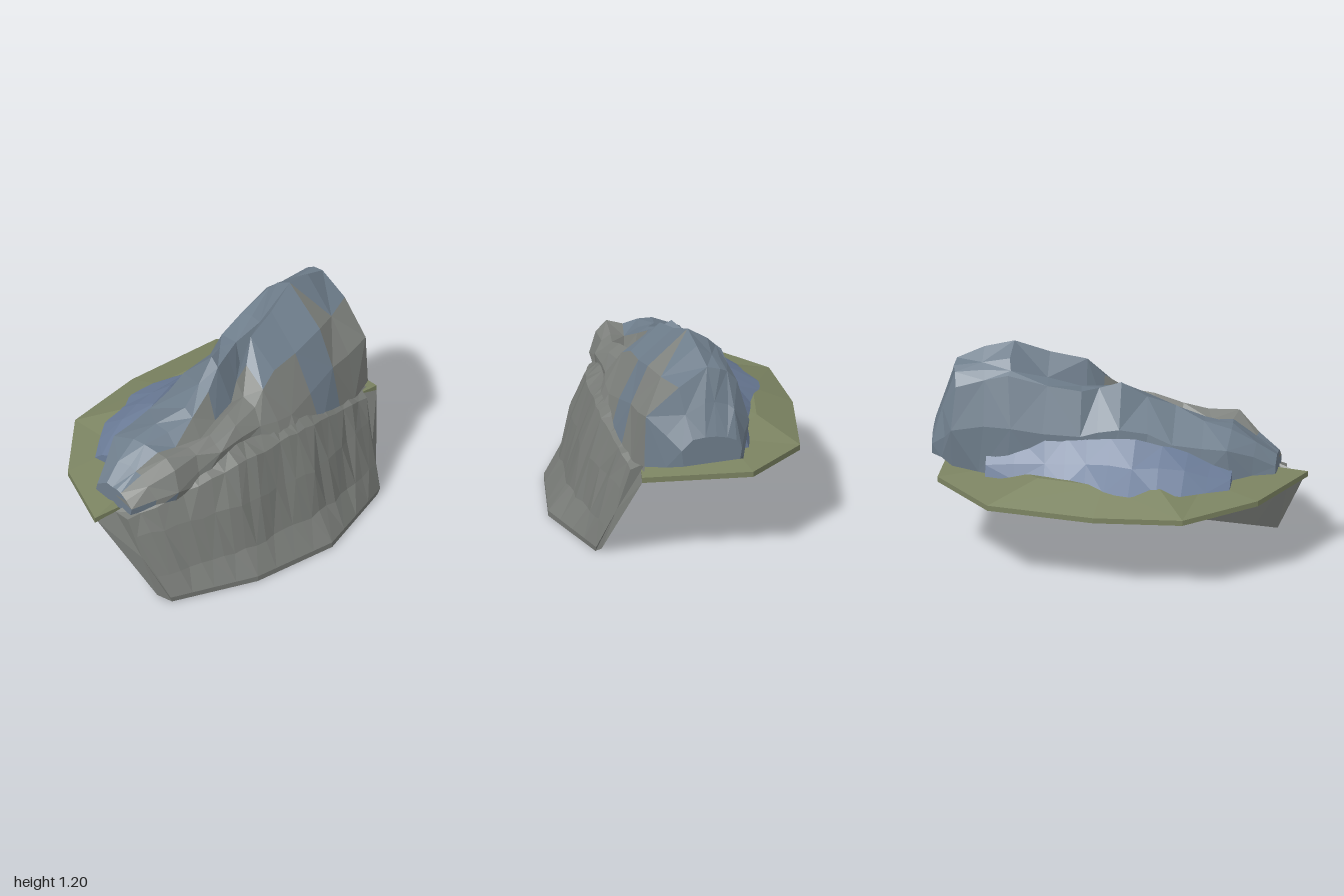
import * as THREE from 'three';

// small seeded noise in -1..1
function seeded(seed) {
  return () => {
    seed = (seed * 16807) % 2147483647;
    return (seed / 2147483647) * 2 - 1;
  };
}

// point at 0..1 along a rail of [x, y, z] points
function railPoint(rail, u) {
  const t = u * (rail.length - 1), k = Math.min(Math.floor(t), rail.length - 2);
  return new THREE.Vector3(...rail[k]).lerp(new THREE.Vector3(...rail[k + 1]), t - k);
}

// Lofts a closed solid through rails (one rail per ring point, listed clockwise
// as seen from the end of the loft). Returns a list of triangles.
function loft(rails, rows, jitter = 0, seed = 7) {
  const rnd = seeded(seed);
  const grid = [];
  for (let r = 0; r < rows; r++) {
    const f = r === 0 || r === rows - 1 ? 0 : jitter;
    grid.push(rails.map((rail) => railPoint(rail, r / (rows - 1))
      .add(new THREE.Vector3(rnd() * f, rnd() * f, rnd() * f))));
  }
  const n = rails.length, tris = [];
  const centre = (ring) => ring.reduce((s, p) => s.add(p), new THREE.Vector3()).divideScalar(n);
  const back = centre(grid[0]), front = centre(grid[rows - 1]);
  for (let i = 0; i < n; i++) {
    const j = (i + 1) % n;
    for (let r = 0; r < rows - 1; r++) {
      const a = grid[r][i], b = grid[r][j], c = grid[r + 1][j], d = grid[r + 1][i];
      // alternate the diagonals for a craggy look
      if ((r + i) % 2) tris.push([a, d, c], [a, c, b]);
      else tris.push([a, d, b], [d, c, b]);
    }
    tris.push([back, grid[0][i], grid[0][j]]);
    tris.push([front, grid[rows - 1][j], grid[rows - 1][i]]);
  }
  return tris;
}

function facetMesh(name, tris, color) {
  const geo = new THREE.BufferGeometry().setFromPoints(tris.flat());
  geo.computeVertexNormals();
  const mesh = new THREE.Mesh(geo, new THREE.MeshStandardMaterial({ color, flatShading: true }));
  mesh.name = name;
  return mesh;
}

// gives each [x, y] of a rail its z station
const along = (stations, rail) => rail.map(([x, y], i) => [x, y, stations[i]]);

export function createModel() {
  const group = new THREE.Group();
  group.name = 'rockyCliff';

  // grassy plate, its top rising towards the foothill
  const outline = [[0.04, 1], [-0.36, 0.78], [-0.65, 0.41], [-0.68, -0.07],
    [-0.6, -0.65], [-0.28, -0.96], [0.32, -0.92]];
  const plate = outline.map(([x, z]) => [
    [x, 0.47, z], [x, 0.5, z],
    [-0.05 + (x + 0.05) * 0.66, x < -0.5 ? 0.59 : 0.55, z * 0.62],
  ]);
  group.add(facetMesh('grassPlate', loft(plate, 3), 0x7c8462));

  // low bluish foothill blending into the grass
  const hillZ = [-0.7, -0.38, -0.15, 0.1, 0.38, 0.62];
  const hill = [
    [[-0.31, 0.53], [-0.4, 0.56], [-0.48, 0.565], [-0.53, 0.565], [-0.47, 0.56], [-0.31, 0.53]],
    [[-0.29, 0.59], [-0.33, 0.63], [-0.36, 0.66], [-0.37, 0.66], [-0.34, 0.64], [-0.26, 0.57]],
    [[-0.22, 0.7], [-0.23, 0.77], [-0.24, 0.76], [-0.24, 0.76], [-0.2, 0.7], [-0.18, 0.6]],
    [[-0.1, 0.52], [-0.1, 0.52], [-0.1, 0.52], [-0.1, 0.52], [-0.1, 0.52], [-0.1, 0.52]],
  ].map((rail) => along(hillZ, rail));
  group.add(facetMesh('foothill', loft(hill, 11, 0.01, 31), 0x6c7d99));

  // cliff wall falling from the plate edge to a thin toe
  const cliff = [
    [[0.32, 0.47, -0.92], [0.04, 0.47, 0.98]],
    [[0.28, 0.54, -0.82], [0.33, 0.69, -0.25], [0.32, 0.69, 0.25], [0.08, 0.5, 0.88]],
    [[0.36, 0.5, -0.8], [0.42, 0.62, -0.25], [0.4, 0.63, 0.25], [0.16, 0.48, 0.87]],
    [[0.41, 0.38, -0.76], [0.51, 0.4, -0.22], [0.46, 0.42, 0.3], [0.21, 0.38, 0.85]],
    [[0.49, 0.16, -0.73], [0.575, 0.17, -0.2], [0.52, 0.17, 0.32], [0.32, 0.15, 0.81]],
    [[0.53, 0.03, -0.72], [0.68, 0.03, -0.18], [0.6, 0.03, 0.32], [0.39, 0.03, 0.78]],
    [[0.53, 0, -0.7], [0.68, 0, -0.18], [0.6, 0, 0.32], [0.39, 0, 0.77]],
    [[0.5, 0.02, -0.72], [0.31, 0.02, 0.8]],
  ];
  // only the outer face is streaked, the toe and underside stay straight
  const rnd = seeded(5);
  const streaked = cliff.map((rail, i) => {
    if (i < 1 || i > 4) return rail;
    return Array.from({ length: 25 }, (_, s) => {
      const p = railPoint(rail, s / 24), f = s % 24 ? 0.01 : 0;
      return [p.x + rnd() * f, p.y + rnd() * f, p.z];
    });
  });
  group.add(facetMesh('cliffWall', loft(streaked, 25), 0x787b77));

  // mountain: rails run from the left foot over the left ridge, down the
  // diagonal ravine, over the main ridge and shoulder to the right foot
  const rockZ = [-1, -0.88, -0.58, -0.2, 0, 0.3, 0.6, 0.84];
  const rock = [
    [[-0.2, 0.6], [-0.25, 0.56], [-0.27, 0.52], [-0.25, 0.5], [-0.25, 0.5], [-0.23, 0.52], [-0.21, 0.55], [-0.1, 0.54]],
    [[-0.21, 0.66], [-0.26, 0.78], [-0.26, 0.8], [-0.24, 0.78], [-0.22, 0.8], [-0.2, 0.74], [-0.19, 0.7], [-0.09, 0.58]],
    [[-0.18, 0.71], [-0.2, 1.0], [-0.19, 1.06], [-0.13, 0.98], [-0.04, 1.01], [0.03, 0.84], [-0.06, 0.78], [-0.02, 0.62]],
    [[-0.13, 0.73], [-0.14, 1.06], [-0.14, 1.09], [-0.06, 0.97], [0.03, 0.96], [0.1, 0.81], [0.03, 0.78], [0.02, 0.61]],
    [[-0.07, 0.74], [-0.1, 1.08], [-0.11, 1.15], [0.0, 0.86], [0.1, 0.77], [0.16, 0.71], [0.12, 0.75], [0.05, 0.61]],
    [[-0.01, 0.74], [-0.04, 1.1], [-0.01, 1.2], [0.07, 1.07], [0.19, 0.86], [0.23, 0.77], [0.19, 0.76], [0.08, 0.6]],
    [[0.06, 0.73], [0.12, 1.0], [0.21, 1.0], [0.23, 0.93], [0.27, 0.8], [0.28, 0.74], [0.25, 0.7], [0.12, 0.57]],
    [[0.12, 0.67], [0.28, 0.82], [0.325, 0.78], [0.35, 0.7], [0.33, 0.71], [0.31, 0.7], [0.28, 0.58], [0.16, 0.53]],
    [[0.11, 0.58], [0.3, 0.54], [0.36, 0.51], [0.45, 0.51], [0.34, 0.65], [0.32, 0.65], [0.27, 0.48], [0.15, 0.48]],
  ].map((rail) => along(rockZ, rail));
  const tris = loft(rock, 15, 0.014, 19);
  // warmer grey faces along the lower right flank and behind the shoulder
  const isGrey = ([a, b, c]) => {
    const m = new THREE.Vector3().add(a).add(b).add(c).divideScalar(3);
    return m.x > 0.1 && m.y > 0.53 && ((m.z > -0.42 && m.y < 0.92) || (m.z < -0.6 && m.z > -0.85));
  };
  group.add(facetMesh('mountain', tris.filter((t) => !isGrey(t)), 0x6f7e8c));
  group.add(facetMesh('mountainGreyFaces', tris.filter(isGrey), 0x7e817d));

  return group;
}
